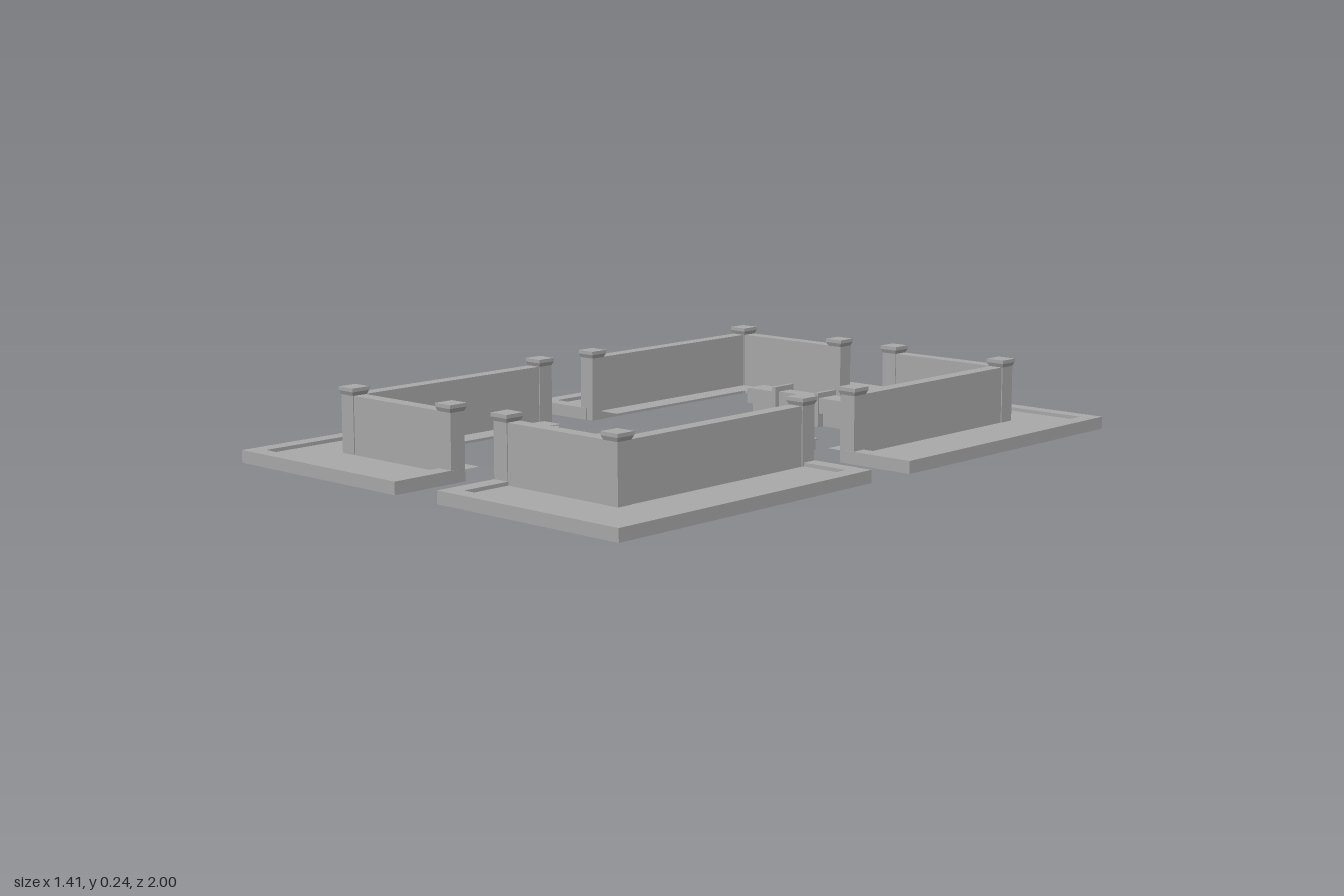
import * as THREE from 'three';

const stone = new THREE.MeshStandardMaterial({ color: 0xa8a8a8, side: THREE.DoubleSide });
stone.name = 'grey stone';
const pale = new THREE.MeshStandardMaterial({ color: 0xcccccc, side: THREE.DoubleSide });
pale.name = 'pale stone';

function add(parent, name, geo, mat = stone) {
  const mesh = new THREE.Mesh(geo, mat);
  mesh.name = name;
  parent.add(mesh);
  return mesh;
}

// Removes the faces lying on the underside, leaving a hollow shell.
function openBottom(geo) {
  const g = geo.index ? geo.toNonIndexed() : geo;
  g.computeBoundingBox();
  const limit = g.boundingBox.min.y + 1e-5;
  const p = g.attributes.position;
  const kept = [];
  for (let i = 0; i < p.count; i += 3) {
    if (Math.max(p.getY(i), p.getY(i + 1), p.getY(i + 2)) < limit) continue;
    for (let k = i; k < i + 3; k++) kept.push(p.getX(k), p.getY(k), p.getZ(k));
  }
  const out = new THREE.BufferGeometry();
  out.setAttribute('position', new THREE.Float32BufferAttribute(kept, 3));
  out.computeVertexNormals();
  return out;
}

// Box given by its limits.
function box(x0, x1, y0, y1, z0, z1) {
  return new THREE.BoxGeometry(x1 - x0, y1 - y0, z1 - z0)
    .translate((x0 + x1) / 2, (y0 + y1) / 2, (z0 + z1) / 2);
}

// Ground-plan outline from [x, z] pairs, mirrored into a quadrant.
const plan = (pts, sx = 1, sz = 1) =>
  new THREE.Shape(pts.map(([x, z]) => new THREE.Vector2(sx * x, -sz * z)));

const raise = (shape, y0, y1) =>
  new THREE.ExtrudeGeometry(shape, { depth: y1 - y0, bevelEnabled: false })
    .rotateX(-Math.PI / 2).translate(0, y0, 0);

const flat = (shape, y) => new THREE.ShapeGeometry(shape).rotateX(-Math.PI / 2).translate(0, y, 0);

// One corner bed: raised curb, recessed floor, L-shaped wall and capped posts.
function cornerBed(sx, sz) {
  const bed = new THREE.Group();
  bed.name = 'cornerBed';
  const end = sz < 0 ? 0.09 : 0.07;
  const pz = sz < 0 ? 0.792 : 0.785;
  const ez = end + 0.027;
  const px = 0.492, ex = 0.105;

  add(bed, 'curb', openBottom(raise(plan([
    [0.08, pz], [0.08, 1], [0.705, 1], [0.705, end], [px, end],
    [px, end + 0.045], [0.658, end + 0.045], [0.658, 0.955], [0.13, 0.955], [0.13, pz],
  ], sx, sz), 0.035, 0.07)));

  add(bed, 'bedFloor', flat(plan([
    [0.13, pz + 0.022], [0.13, 0.955], [0.658, 0.955], [0.658, end + 0.045],
    [px + 0.022, end + 0.045], [px + 0.022, pz + 0.022],
  ], sx, sz), 0.06));
  add(bed, 'innerLedge', flat(plan([
    [0.105, 0.69], [0.4, 0.69], [0.4, end + 0.035], [px - 0.02, end + 0.035],
    [px - 0.02, pz - 0.02], [0.105, pz - 0.02],
  ], sx, sz), 0.06));

  add(bed, 'wall', openBottom(raise(plan([
    [ex, pz - 0.021], [px - 0.021, pz - 0.021], [px - 0.021, ez],
    [px + 0.021, ez], [px + 0.021, pz + 0.021], [ex, pz + 0.021],
  ], sx, sz), 0.035, 0.22)));

  for (const [x, z] of [[px, pz], [ex, pz], [px, ez]]) {
    const post = new THREE.Group();
    post.name = 'post';
    post.position.set(sx * x, 0, sz * z);
    add(post, 'postShaft', openBottom(box(-0.024, 0.024, 0.035, 0.222, -0.024, 0.024)));
    const flare = new THREE.CylinderGeometry(0.029 * Math.SQRT2, 0.024 * Math.SQRT2, 0.012, 4, 1, true)
      .rotateY(Math.PI / 4).toNonIndexed();
    flare.computeVertexNormals();
    add(post, 'postFlare', flare).position.y = 0.226;
    add(post, 'postCap', box(-0.029, 0.029, 0.231, 0.241, -0.029, 0.029));
    bed.add(post);
  }
  return bed;
}

// Bench with a narrow middle, two posts and wider end blocks.
function bench(z) {
  const b = new THREE.Group();
  b.name = 'bench';
  b.position.z = z;
  add(b, 'benchMiddle', openBottom(box(-0.076, 0.076, 0.035, 0.12, -0.025, 0.025)));
  for (const s of [-1, 1]) {
    const side = new THREE.Group();
    side.name = 'benchEnd';
    side.position.x = s * 0.132;
    add(side, 'endBase', openBottom(box(-0.05, 0.05, 0.035, 0.085, -0.018, 0.018)));
    add(side, 'endBlock', box(-0.055, 0.055, 0.075, 0.12, -0.036, 0.036));
    b.add(side);
    add(b, 'benchPost', openBottom(box(-0.007, 0.007, 0.035, 0.135, -0.041, 0.041))).position.x = s * 0.081;
  }
  return b;
}

export function createModel() {
  const model = new THREE.Group();
  model.name = 'walledCourtyard';
  for (const sx of [-1, 1]) for (const sz of [-1, 1]) model.add(cornerBed(sx, sz));
  model.add(bench(-0.5), bench(0.465));

  // Shallow basin with a thin rim and a step at the front end
  const basin = new THREE.Group();
  basin.name = 'basin';
  const rect = (x, z0, z1) => [[-x, z0], [x, z0], [x, z1], [-x, z1]];
  const rim = (outer, inner, y0, y1) => {
    const shape = plan(rect(outer, -0.015 - outer - 0.12, -0.015 + outer + 0.12));
    shape.holes.push(plan(rect(inner, -0.015 - inner - 0.12, -0.015 + inner + 0.12)));
    return raise(shape, y0, y1);
  };
  add(basin, 'basinSide', rim(0.191, 0.186, 0, 0.03));
  add(basin, 'basinRim', rim(0.197, 0.186, 0.03, 0.034));
  add(basin, 'basinFloor', box(-0.188, 0.188, 0, 0.006, -0.32, 0.29));
  add(basin, 'basinStep', box(-0.055, 0.186, 0.006, 0.014, 0.24, 0.291));
  add(basin, 'paleStep', box(-0.186, -0.055, 0.006, 0.014, 0.24, 0.291), pale);
  model.add(basin);
  return model;
}
